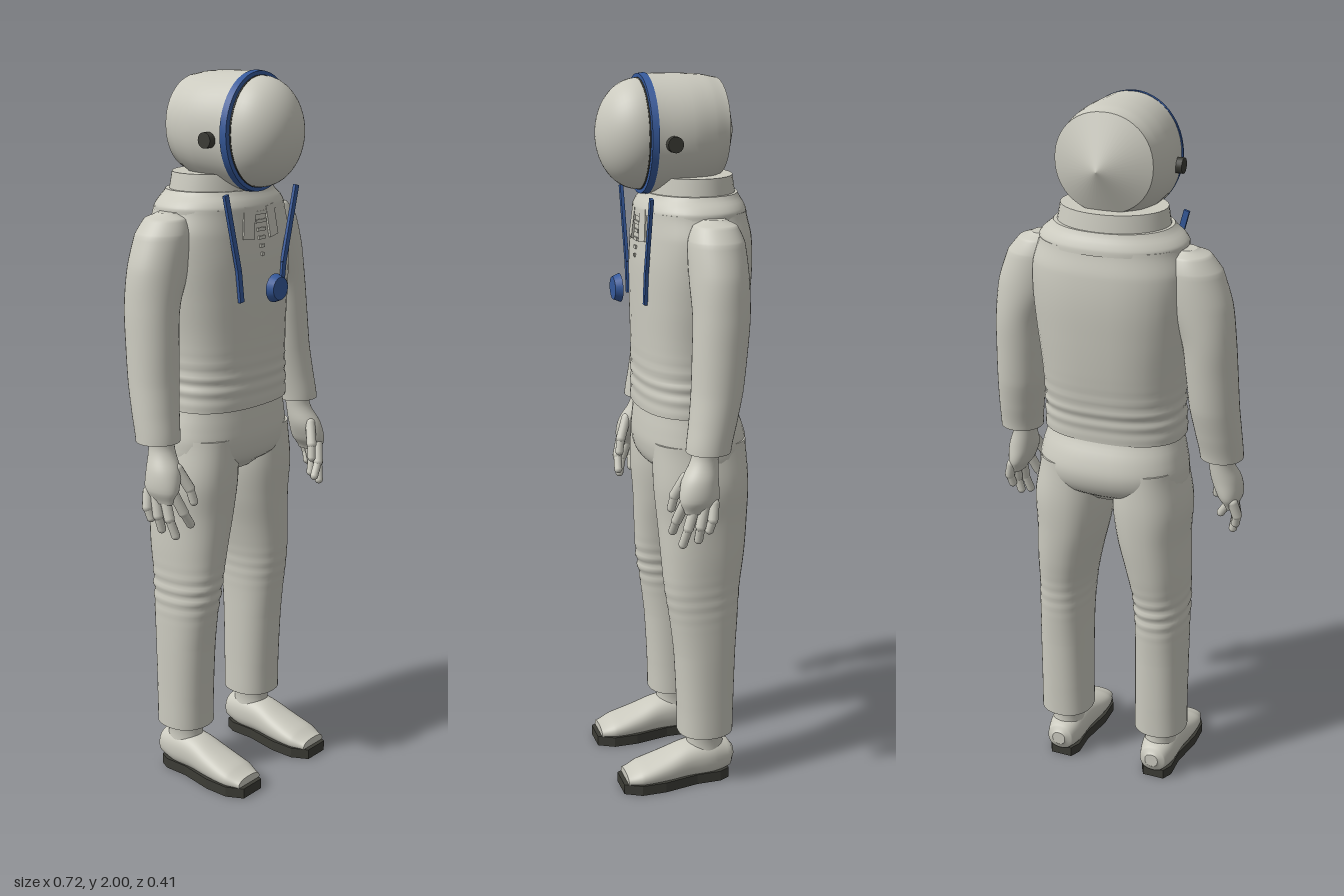
import * as THREE from 'three';

const mat = (name, color) => Object.assign(new THREE.MeshStandardMaterial({ color }), { name });

// Smooth surface through superelliptic rings: [y, cx, cz, rx, rz], with optional fold wobble
function loft(rows, { n = 2, seg = 40, sub = 5, caps = true, fold = null } = {}) {
  rows = rows[0][0] > rows[rows.length - 1][0] ? [...rows].reverse() : rows;
  const cr = (a, b, c, d, t) => 0.5 * (2 * b + (c - a) * t + (2 * a - 5 * b + 4 * c - d) * t * t + (3 * b - a - 3 * c + d) * t * t * t);
  const rings = [];
  for (let i = 0; i < rows.length - 1; i++) {
    const a = rows[Math.max(i - 1, 0)], b = rows[i], c = rows[i + 1], d = rows[Math.min(i + 2, rows.length - 1)];
    for (let k = 0; k < sub; k++) rings.push(b.map((v, j) => j ? cr(a[j], v, c[j], d[j], k / sub) : v + (c[0] - v) * k / sub));
  }
  rings.push(rows[rows.length - 1]);
  const pos = [], idx = [];
  const ring = ([y, cx, cz, rx, rz]) => {
    for (let j = 0; j < seg; j++) {
      const t = j / seg * Math.PI * 2, c = Math.cos(t), s = Math.sin(t), f = 1 + (fold ? fold(y, t) : 0);
      pos.push(cx + Math.sign(c) * Math.abs(c) ** (2 / n) * rx * f, y, cz + Math.sign(s) * Math.abs(s) ** (2 / n) * rz * f);
    }
  };
  rings.forEach(ring);
  for (let i = 0; i < rings.length - 1; i++) for (let j = 0; j < seg; j++) {
    const a = i * seg + j, b = i * seg + (j + 1) % seg;
    idx.push(a, a + seg, b, b, a + seg, b + seg);
  }
  if (caps) [rings[0], rings[rings.length - 1]].forEach((r, top) => {
    const o = pos.length / 3;
    ring(r);
    pos.push(r[1], r[0], r[2]);
    for (let j = 0; j < seg; j++) {
      const p = o + j, q = o + (j + 1) % seg;
      top ? idx.push(o + seg, q, p) : idx.push(o + seg, p, q);
    }
  });
  const g = new THREE.BufferGeometry();
  g.setAttribute('position', new THREE.Float32BufferAttribute(pos, 3));
  g.setIndex(idx);
  g.computeVertexNormals();
  return g;
}

// The same along z: [z, cx, cy, rx, ry]
const loftZ = (rows, opt) => loft(rows.map(([z, cx, cy, rx, ry]) => [z, cx, -cy, rx, ry]), opt).rotateX(Math.PI / 2);

export function createModel() {
  const model = new THREE.Group();
  const suit = mat('suit fabric', 0xcbcabf), blue = mat('blue trim', 0x365a9c), dark = mat('dark rubber', 0x3c3c36);
  const add = (name, geo, m = suit, parent = model) => {
    const mesh = new THREE.Mesh(geo, m);
    mesh.name = name;
    parent.add(mesh);
    return mesh;
  };
  const rod = (name, a, b, r, m, parent) => {
    const p = new THREE.Vector3(...a), q = new THREE.Vector3(...b), d = q.clone().sub(p);
    const mesh = add(name, new THREE.CapsuleGeometry(r, d.length(), 5, 12), m, parent);
    mesh.position.copy(p).add(q).multiplyScalar(0.5);
    mesh.quaternion.setFromUnitVectors(new THREE.Vector3(0, 1, 0), d.normalize());
  };
  const bump = (y, mid, w) => Math.exp(-(((y - mid) / w) ** 2));

  // Jacket, with folds at the waist
  add('jacket', loft([
    [1.1, 0, -0.034, 0.2, 0.135], [1.15, 0, -0.036, 0.198, 0.137], [1.2, 0, -0.04, 0.196, 0.141],
    [1.3, 0, -0.046, 0.2, 0.148], [1.4, 0, -0.05, 0.21, 0.153], [1.5, 0, -0.053, 0.218, 0.155],
    [1.58, 0, -0.054, 0.217, 0.15], [1.645, 0, -0.05, 0.198, 0.141],
  ], { n: 2.4, sub: 10, fold: (y, t) => 0.013 * bump(y, 1.18, 0.055) * Math.sin(y * 165 + Math.cos(t) * 0.8) }));
  // Sloping collar and upright neck ring
  add('collar', loft([[1.635, 0, -0.05, 0.203, 0.146], [1.655, 0, -0.05, 0.198, 0.142], [1.69, 0, -0.05, 0.162, 0.125]], { n: 2.15 }));
  add('neckRing', loft([[1.68, 0, -0.05, 0.155, 0.122], [1.735, 0, -0.048, 0.145, 0.116]], { sub: 1 }));
  // Lapels and front fastening
  for (const s of [-1, 1]) {
    const lapel = add('lapel', new THREE.BoxGeometry(0.04, 0.085, 0.008));
    lapel.position.set(0.047 * s, 1.605, 0.092);
    lapel.rotation.set(-0.1, 0.12 * s, 0.15 * s);
  }
  for (let i = 0; i < 6; i++) {
    add('fastener', new THREE.BoxGeometry(0.05 - i * 0.008, 0.009, 0.008)).position.set(0, 1.63 - i * 0.022, 0.091 + i * 0.002);
  }

  // Hips
  add('hips', loft([
    [1.11, 0, -0.035, 0.19, 0.128], [1.05, 0, -0.045, 0.204, 0.144], [1.0, 0, -0.049, 0.212, 0.149],
    [0.95, 0, -0.047, 0.2, 0.132], [0.91, 0, -0.045, 0.1, 0.08],
  ], { n: 2.3 }));

  for (const s of [-1, 1]) {
    // Trouser leg; the knee folds are deeper on one side
    const deep = s < 0 ? 0.03 : 0.008;
    add('trouserLeg', loft([
      [1.02, 0.11, -0.047, 0.095, 0.13], [0.9, 0.117, -0.05, 0.108, 0.133], [0.8, 0.122, -0.052, 0.1, 0.127],
      [0.7, 0.135, -0.05, 0.089, 0.119], [0.6, 0.145, -0.046, 0.079, 0.108], [0.5, 0.149, -0.05, 0.076, 0.097],
      [0.4, 0.15, -0.053, 0.076, 0.088], [0.25, 0.15, -0.055, 0.076, 0.082], [0.155, 0.15, -0.055, 0.077, 0.08],
    ].map(([y, x, ...r]) => [y, x * s, ...r]), { n: 2.2, sub: 12, fold: (y, t) => deep * bump(y, 0.57, 0.05) * Math.sin(y * 170 + t) }));

    // Shoe
    const fx = 0.15 * s;
    add('ankle', loft([[0.07, fx, -0.055, 0.05, 0.06], [0.12, fx, -0.055, 0.045, 0.053], [0.17, fx, -0.055, 0.05, 0.055]]));
    add('shoe', loftZ([
      [-0.138, fx, 0.07, 0.02, 0.02], [-0.125, fx, 0.068, 0.04, 0.04], [-0.07, fx, 0.07, 0.053, 0.055],
      [0, fx, 0.067, 0.055, 0.052], [0.07, fx, 0.053, 0.06, 0.041], [0.14, fx, 0.042, 0.06, 0.029], [0.185, fx, 0.035, 0.046, 0.018],
    ], { n: 2.3 }));
    const sole = new THREE.Shape([[-0.032, 0.12], [-0.047, 0.09], [-0.046, 0.02], [-0.064, -0.08], [-0.063, -0.15], [-0.038, -0.197],
      [0.038, -0.197], [0.063, -0.15], [0.064, -0.08], [0.046, 0.02], [0.047, 0.09], [0.032, 0.12]].map(p => new THREE.Vector2(...p)));
    // Shape y runs to -z before it is laid flat
    const soleGeo = new THREE.ExtrudeGeometry(sole, { depth: 0.03, bevelEnabled: false });
    soleGeo.rotateX(Math.PI / 2).rotateZ(Math.PI).rotateY(Math.PI);
    soleGeo.computeBoundingBox();
    soleGeo.translate(fx, -soleGeo.boundingBox.min.y, -soleGeo.boundingBox.min.z - 0.12);
    add('sole', soleGeo, dark);

    // Sleeve
    add('sleeve', loft([
      [1.64, 0.205, -0.055, 0.025, 0.03], [1.625, 0.212, -0.054, 0.055, 0.058], [1.585, 0.222, -0.054, 0.078, 0.074],
      [1.5, 0.242, -0.055, 0.087, 0.078], [1.4, 0.268, -0.054, 0.073, 0.076], [1.3, 0.277, -0.047, 0.07, 0.073],
      [1.2, 0.284, -0.038, 0.068, 0.069], [1.12, 0.293, -0.024, 0.064, 0.064], [1.045, 0.3, -0.01, 0.06, 0.06],
    ].map(([y, x, ...r]) => [y, x * s, ...r]), { sub: 8 }));

    // Hand with jointed fingers
    const hand = new THREE.Group();
    hand.name = s > 0 ? 'leftHand' : 'rightHand';
    model.add(hand);
    add('palm', loft([
      [1.06, 0.295, -0.005, 0.036, 0.036], [1.02, 0.297, 0, 0.035, 0.037], [0.97, 0.308, 0.015, 0.042, 0.05],
      [0.92, 0.32, 0.02, 0.034, 0.054], [0.885, 0.326, 0.022, 0.015, 0.04],
    ].map(([y, x, ...r]) => [y, x * s, ...r])), suit, hand);
    [
      ['thumb', [0.29, 0.975, 0.05], [0.268, 0.92, 0.073], [0.26, 0.882, 0.08]],
      ['indexFinger', [0.315, 0.91, 0.06], [0.297, 0.86, 0.076], [0.274, 0.822, 0.08]],
      ['middleFinger', [0.325, 0.9, 0.035], [0.328, 0.845, 0.053], [0.317, 0.797, 0.065]],
      ['ringFinger', [0.333, 0.9, 0.01], [0.338, 0.85, 0.022], [0.328, 0.81, 0.025]],
      ['littleFinger', [0.337, 0.91, -0.015], [0.348, 0.87, -0.008], [0.343, 0.84, 0]],
    ].forEach(([name, ...pts]) => {
      const p = pts.map(([x, y, z]) => [x * s, y, z]);
      rod(name, p[0], p[1], 0.0145, suit, hand);
      rod(name, p[1], p[2], 0.012, suit, hand);
    });

    // Chest strap
    const pts = [[0.148, 1.69], [0.095, 1.485], [0.084, 1.4]];
    pts.slice(1).forEach(([x, y], i) => {
      const [x0, y0] = pts[i], dx = (x - x0) * s, dy = y - y0;
      const strap = add('strap', new THREE.BoxGeometry(0.016, Math.hypot(dx, dy), 0.009), blue);
      strap.position.set(s * (x + x0) / 2, (y + y0) / 2, 0.098);
      strap.rotation.z = Math.atan2(dx, -dy);
    });

    // Helmet side knob
    const knob = add('helmetKnob', new THREE.CylinderGeometry(0.021, 0.021, 0.03, 16).rotateZ(Math.PI / 2), dark);
    knob.position.set(0.145 * s, 1.827, 0.035);
  }

  // Chest dial
  const dial = add('chestDial', new THREE.CylinderGeometry(0.031, 0.039, 0.02, 24).rotateX(Math.PI / 2), blue);
  dial.position.set(0, 1.433, 0.155);

  // Helmet shell, pointed back, blue rim and domed visor
  add('helmetShell', loftZ([
    [-0.122, 0, 1.856, 0.134, 0.129], [-0.08, 0, 1.85, 0.142, 0.143], [-0.02, 0, 1.845, 0.147, 0.152], [0.075, 0, 1.842, 0.139, 0.156],
  ], { n: 2.1, seg: 48 }));
  add('helmetBack', loftZ([[-0.174, 0, 1.845, 0.001, 0.001], [-0.122, 0, 1.856, 0.134, 0.129]], { n: 2.1, seg: 48, sub: 1 }));
  add('helmetRim', loftZ([[0.073, 0, 1.842, 0.143, 0.158], [0.091, 0, 1.842, 0.139, 0.156]], { seg: 48, sub: 1 }), blue);
  add('visorSeal', loftZ([[0.088, 0, 1.842, 0.125, 0.146], [0.095, 0, 1.842, 0.125, 0.146]], { seg: 48, sub: 1 }), dark);
  const visor = add('visor', new THREE.SphereGeometry(1, 40, 16, 0, Math.PI * 2, 0, Math.PI / 2).rotateX(Math.PI / 2));
  visor.scale.set(0.124, 0.145, 0.112);
  visor.position.set(0, 1.842, 0.093);
  return model;
}
